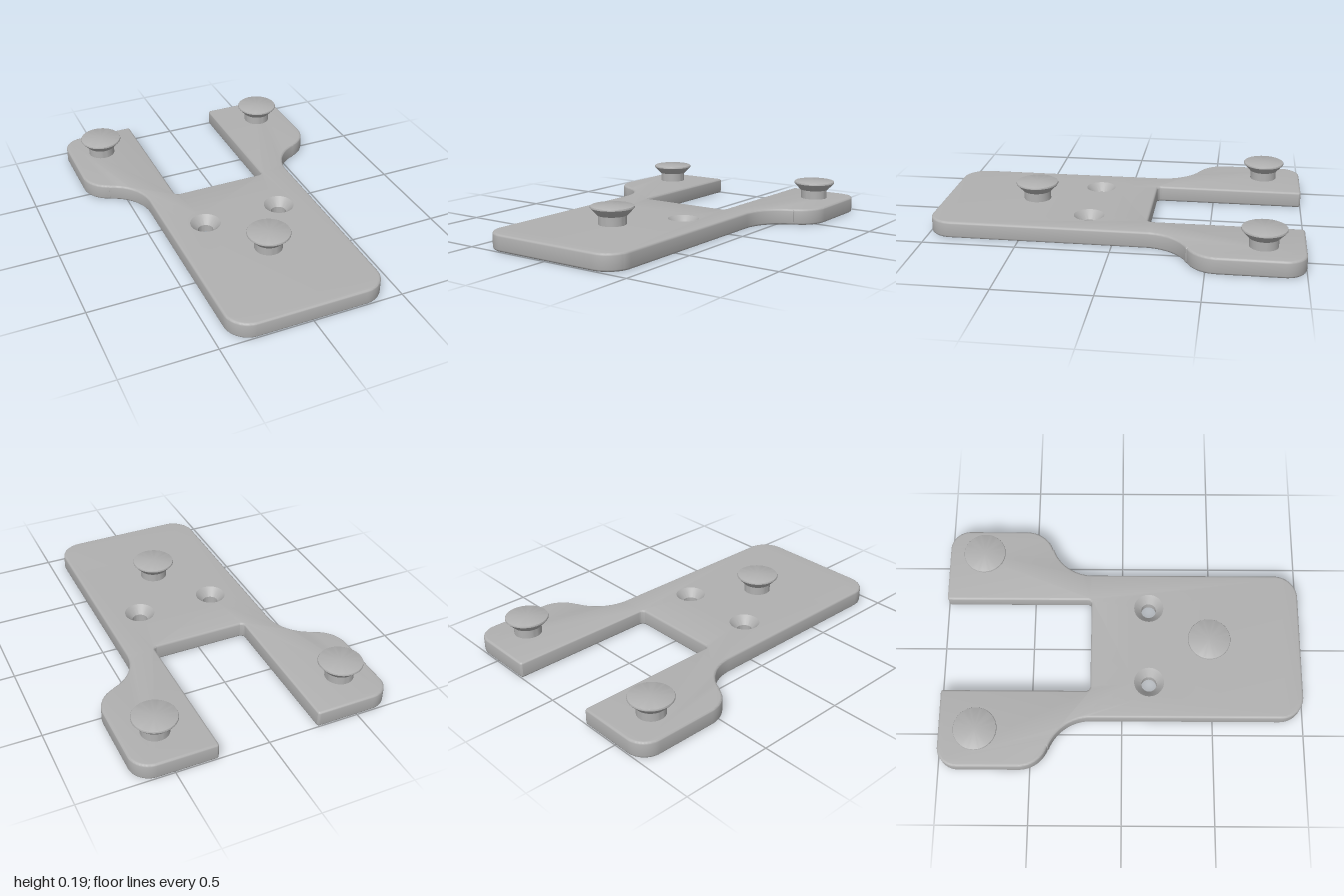
import * as THREE from 'three';
import { toCreasedNormals } from 'three/addons/utils/BufferGeometryUtils.js';

const THICK = 0.09, BEVEL = 0.012;
const HOLES = [[-0.22, 0.15], [0.22, 0.15]]; // x, z
const HOLE_R = 0.042, SINK_R = 0.083, SINK_Y = 0.049;
const KNOBS = [[0, 0.48], [-0.515, -0.785], [0.515, -0.785]]; // x, z

// Half of the forked outline (drawn with y = -z), mirrored across x = 0
function plateShape() {
  const p = new THREE.Path();
  const q = Math.PI / 2, a = 1.24;
  p.moveTo(0, -1);
  p.absarc(0.295, -0.87, 0.13, -q, 0, false);             // front corner
  p.absarc(0.668, 0.17, 0.243, Math.PI, Math.PI - a, true); // waist flare
  p.absarc(0.535, 0.56, 0.165, -a, 0, false);             // shoulder
  p.absarc(0.59, 0.89, 0.11, 0, q, false);                // outer tip corner
  p.absarc(0.285, 0.985, 0.015, q, Math.PI, false);       // inner tip corner
  p.absarc(0.245, 0.2, 0.025, 0, -q, true);               // notch fillet
  p.lineTo(0, 0.175);
  const half = p.getPoints(10);
  const mirrored = half.slice(1, -1).reverse().map(v => new THREE.Vector2(-v.x, v.y));
  const shape = new THREE.Shape([...half, ...mirrored]);
  for (const [x, z] of HOLES) {
    shape.holes.push(new THREE.Path().absarc(x, -z, 0.06, 0, Math.PI * 2, true));
  }
  return shape;
}

function plateGeometry() {
  const depth = THICK - 2 * BEVEL;
  const geo = new THREE.ExtrudeGeometry(plateShape(), {
    depth, steps: 2, curveSegments: 20,
    bevelEnabled: true, bevelSize: BEVEL, bevelThickness: BEVEL,
    bevelOffset: -BEVEL, bevelSegments: 3,
  });
  geo.translate(0, 0, BEVEL).rotateX(-Math.PI / 2);

  // Reshape the hole walls into a straight bore with a conical countersink
  const pos = geo.attributes.position;
  for (let i = 0; i < pos.count; i++) {
    for (const [hx, hz] of HOLES) {
      const dx = pos.getX(i) - hx, dz = pos.getZ(i) - hz;
      const d = Math.hypot(dx, dz);
      if (d > 0.1) continue;
      const t = Math.max(0, (pos.getY(i) - SINK_Y) / (THICK - SINK_Y));
      const r = HOLE_R + (SINK_R - HOLE_R) * t;
      pos.setX(i, hx + dx / d * r);
      pos.setZ(i, hz + dz / d * r);
    }
  }
  return toCreasedNormals(geo, 0.6);
}

// Stem with a flared, flat-topped head
function knobGeometry() {
  const profile = [
    [0.075, THICK - 0.005], [0.075, 0.14], [0.081, 0.14], [0.114, 0.175],
    [0.117, 0.179], [0.117, 0.184], [0.115, 0.188], [0.111, 0.19], [0, 0.19],
  ].map(([r, y]) => new THREE.Vector2(r, y));
  return toCreasedNormals(new THREE.LatheGeometry(profile, 48), 0.6);
}

export function createModel() {
  const grey = new THREE.MeshStandardMaterial({ color: 0xb0b0b0 });
  grey.name = 'grey';
  const model = new THREE.Group();
  model.name = 'mountingBracket';

  const plate = new THREE.Mesh(plateGeometry(), grey);
  plate.name = 'forkedPlate';
  model.add(plate);

  const knobGeo = knobGeometry();
  const names = ['frontKnob', 'rightRearKnob', 'leftRearKnob'];
  KNOBS.forEach(([x, z], i) => {
    const knob = new THREE.Mesh(knobGeo, grey);
    knob.name = names[i];
    knob.position.set(x, 0, z);
    model.add(knob);
  });
  return model;
}
